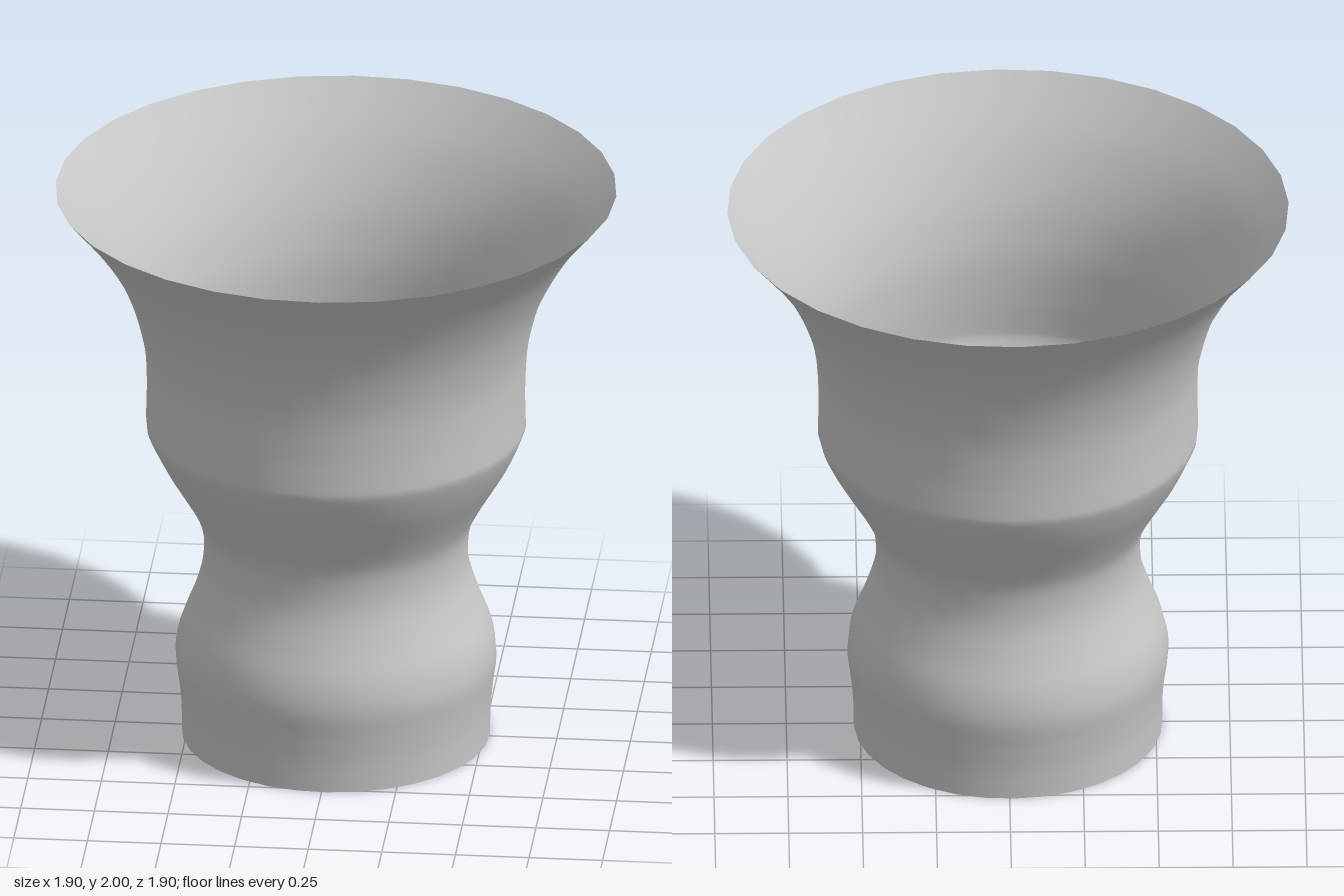
import * as THREE from 'three';

export function createModel() {
  const group = new THREE.Group();
  group.name = 'vase';

  const grey = new THREE.MeshStandardMaterial({ color: 0xc6c6c6, side: THREE.DoubleSide });
  grey.name = 'plain grey';

  // Wall profile as [radius, height]: foot, belly, waist, shoulder, flared rim
  const profile = [
    [0.522, 0], [0.524, 0.1], [0.533, 0.2], [0.544, 0.3], [0.527, 0.4],
    [0.488, 0.5], [0.456, 0.6], [0.447, 0.68], [0.456, 0.77], [0.492, 0.85],
    [0.545, 0.94], [0.592, 1.02], [0.638, 1.12], [0.643, 1.17], [0.641, 1.28],
    [0.648, 1.42], [0.67, 1.53], [0.702, 1.63], [0.755, 1.74], [0.832, 1.86], [0.95, 2],
  ].map(([r, y]) => new THREE.Vector2(r, y));
  const points = new THREE.SplineCurve(profile).getPoints(60);

  // Thin tube-like wall, open at both ends
  const wall = new THREE.Mesh(
    new THREE.LatheGeometry(points, 32, THREE.MathUtils.degToRad(1.8)), grey);
  wall.name = 'vaseWall';
  group.add(wall);
  return group;
}
